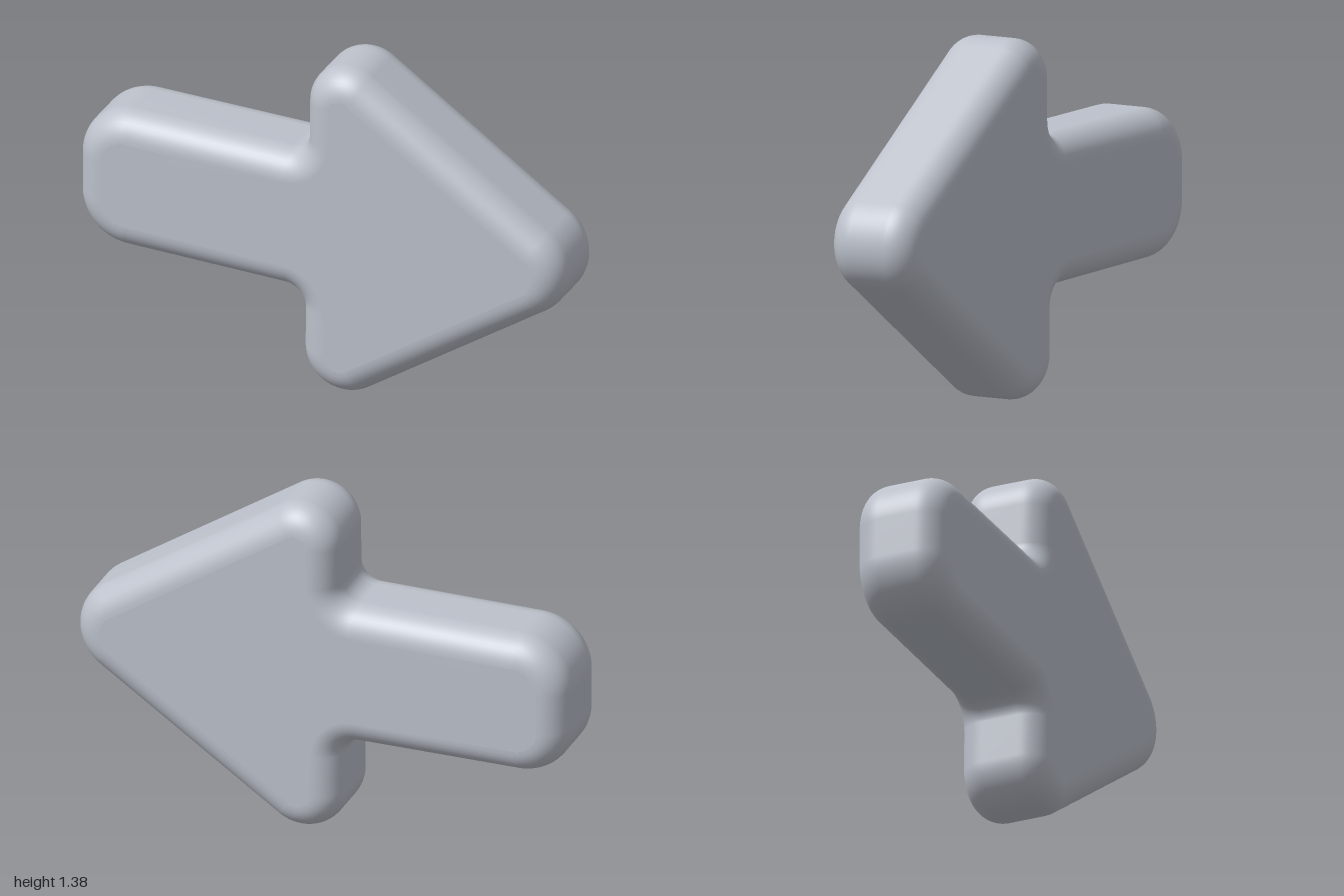
import * as THREE from 'three';
import { mergeVertices } from 'three/addons/utils/BufferGeometryUtils.js';

// Closed counter-clockwise shape whose corners [x, y, radius] are rounded by arcs
function roundedShape(corners) {
  const shape = new THREE.Shape();
  const n = corners.length;
  const pts = corners.map(([x, y]) => new THREE.Vector2(x, y));
  pts.forEach((p, i) => {
    const r = corners[i][2];
    const a = pts[(i + n - 1) % n].clone().sub(p).normalize();
    const b = pts[(i + 1) % n].clone().sub(p).normalize();
    const half = Math.acos(a.dot(b)) / 2;
    const centre = a.clone().add(b).normalize().multiplyScalar(r / Math.sin(half)).add(p);
    const reach = r / Math.tan(half);
    const start = a.multiplyScalar(reach).add(p).sub(centre);
    const end = b.multiplyScalar(reach).add(p).sub(centre);
    const clockwise = start.cross(end) < 0;
    shape.absarc(centre.x, centre.y, r, start.angle(), end.angle(), clockwise);
  });
  return shape;
}

export function createModel() {
  const group = new THREE.Group();
  group.name = 'arrow';
  const grey = new THREE.MeshStandardMaterial({ color: 0xbcc1cb });
  grey.name = 'pale grey';

  // Arrow outline: tail, lower barb, tip, upper barb
  const outline = roundedShape([
    [-1.005, 0.43, 0.21],
    [-0.08, 0.405, 0.07],
    [-0.083, -0.15, 0.17],
    [1.161, 0.68, 0.2],
    [-0.06, 1.518, 0.16],
    [-0.065, 0.985, 0.07],
    [-1.005, 1.003, 0.21],
  ]);

  // Thick slab with soft, quarter-round edges
  const thickness = 0.37, soft = 0.11;
  let geometry = new THREE.ExtrudeGeometry(outline, {
    depth: thickness - 2 * soft,
    curveSegments: 10,
    bevelEnabled: true,
    bevelThickness: soft,
    bevelSize: soft,
    bevelOffset: -soft,
    bevelSegments: 10,
  });
  geometry.translate(0, 0, soft - thickness / 2);

  // Weld the faces so the whole surface shades smoothly
  geometry.deleteAttribute('uv');
  geometry.deleteAttribute('normal');
  geometry.clearGroups();
  geometry = mergeVertices(geometry, 1e-4);

  // Turn the tip towards the front, then rest it on the ground
  geometry.rotateY(-0.238);
  geometry.computeBoundingBox();
  const box = geometry.boundingBox;
  geometry.translate(-(box.min.x + box.max.x) / 2, -box.min.y, -(box.min.z + box.max.z) / 2);
  geometry.computeVertexNormals();

  const arrow = new THREE.Mesh(geometry, grey);
  arrow.name = 'arrowBody';
  group.add(arrow);
  return group;
}
